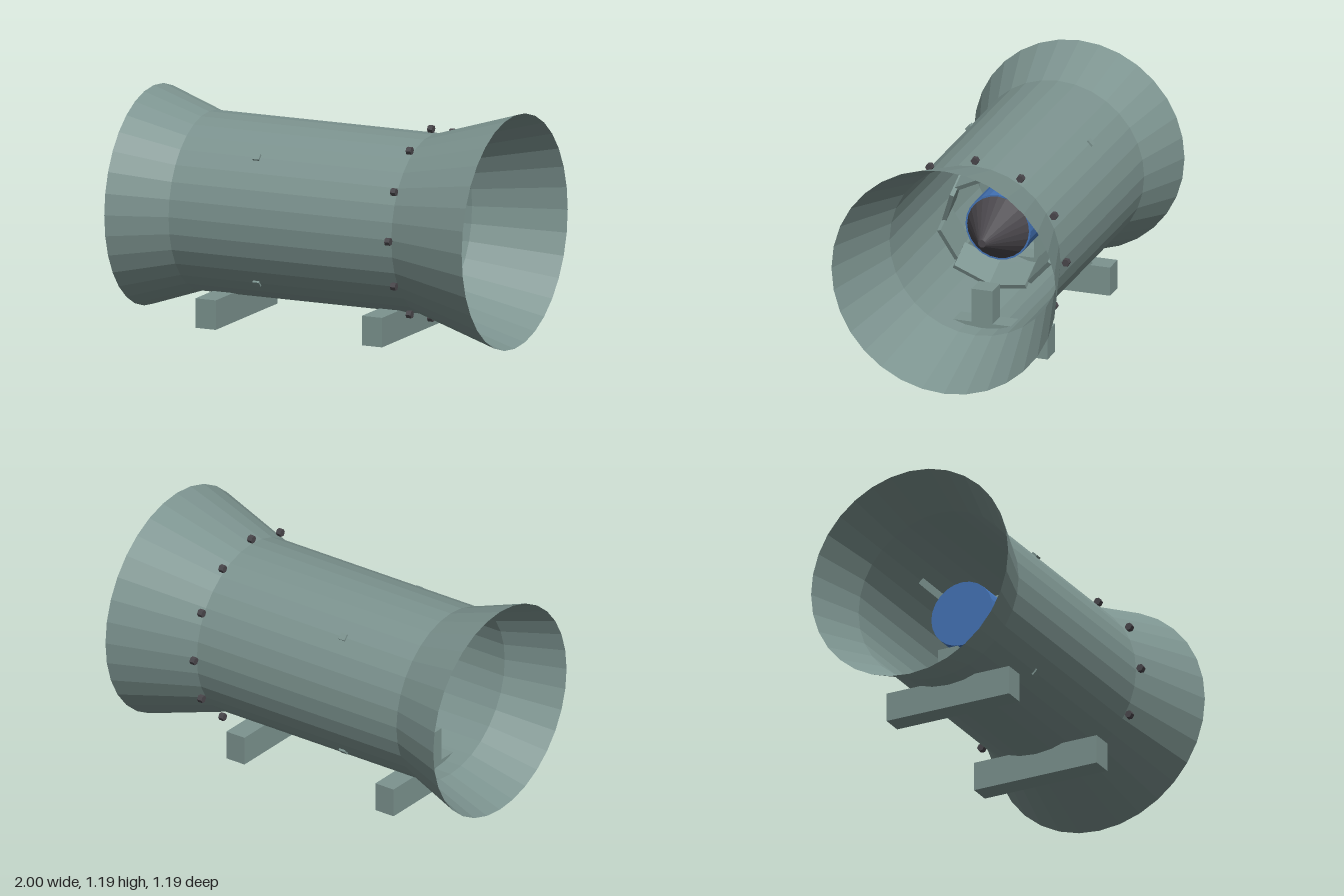
import * as THREE from 'three';

const AXIS_Y = 0.598;

function mat(name, color, extra = {}) {
  const m = new THREE.MeshStandardMaterial({ color, flatShading: true, ...extra });
  m.name = name;
  return m;
}

export function createModel() {
  const steel = mat('grey green steel', 0x7c938f);
  const sheet = mat('grey green sheet', 0x7c938f, { side: THREE.DoubleSide });
  const dark = mat('dark metal', 0x4a474c);
  const blue = mat('blue motor', 0x4474b8);

  const root = new THREE.Group();
  root.name = 'ductFan';
  // Everything round sits on the horizontal x axis of this group
  const fan = new THREE.Group();
  fan.name = 'fan';
  fan.position.y = AXIS_Y;
  root.add(fan);

  function add(parent, name, geometry, material, x = 0, y = 0, z = 0) {
    const mesh = new THREE.Mesh(geometry, material);
    mesh.name = name;
    mesh.position.set(x, y, z);
    parent.add(mesh);
    return mesh;
  }

  // Solid of revolution along x from [x, radius] pairs
  function turned(profile, sides) {
    const points = profile.map(([x, r]) => new THREE.Vector2(r, x));
    return new THREE.LatheGeometry(points, sides).rotateZ(-Math.PI / 2);
  }

  // Thin duct with a flare at both ends
  add(fan, 'ductShell', turned([[-1, 0.555], [-0.695, 0.451], [0.54, 0.451], [1, 0.593]], 32), sheet);

  // Motor with nose cone
  add(fan, 'motor', turned([[-0.45, 0], [-0.45, 0.172], [0.2, 0.172], [0.2, 0]], 24), blue);
  add(fan, 'noseCone', turned([[0.2, 0.163], [0.44, 0.02], [0.44, 0]], 24), dark);

  // Four diagonal struts, their ends just breaking through the shell
  for (let i = 0; i < 4; i++) {
    const arm = new THREE.Group();
    arm.name = 'strut';
    arm.rotation.x = Math.PI / 4 + i * Math.PI / 2;
    add(arm, 'strutBar', new THREE.BoxGeometry(0.035, 0.31, 0.035), steel, -0.27, 0.305, 0);
    fan.add(arm);
  }

  // Ring of nine pitched blades
  const bladeShape = new THREE.BoxGeometry(0.17, 0.022, 0.2);
  for (let i = 0; i < 9; i++) {
    const a = -Math.PI / 2 + i * Math.PI * 2 / 9;
    const blade = add(fan, 'blade', bladeShape, steel, 0.12, 0.283 * Math.cos(a), 0.283 * Math.sin(a));
    blade.rotation.set(a, 0, -0.4, 'ZYX');
  }

  // Hexagonal bolts around the joint of the larger flare
  const boltShape = new THREE.CylinderGeometry(0.02, 0.02, 0.027, 6).rotateZ(-Math.PI / 2);
  for (let i = 0; i < 12; i++) {
    const a = i * Math.PI / 6;
    add(fan, 'bolt', boltShape, dark, 0.537, 0.48 * Math.cos(a), 0.48 * Math.sin(a));
  }

  // Cross beams underneath, each with an inner pedestal
  for (const x of [-0.542, 0.38]) {
    add(root, 'footBeam', new THREE.BoxGeometry(0.112, 0.15, 0.69), steel, x, 0.1, 0);
    add(root, 'pedestal', new THREE.BoxGeometry(0.112, 0.175, 0.11), steel, x, 0.2625, 0);
  }

  return root;
}
